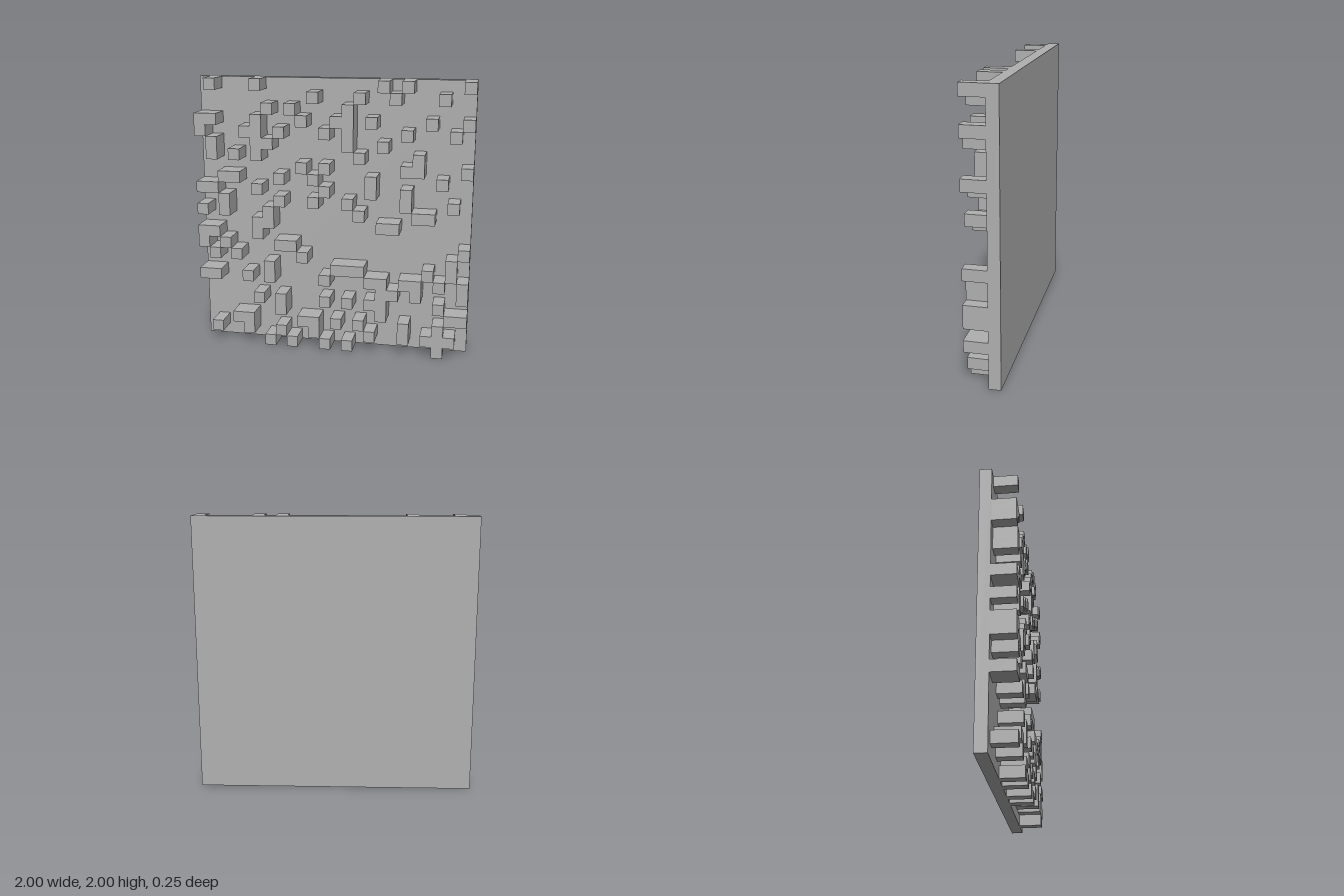
import * as THREE from 'three';

const GRID = 24;
const CELL = 2 / GRID;

// Columns holding a raised block, for each row from the top down
const ROWS = [
  [1, 5, 16, 18, 23],
  [10, 14, 17, 21],
  [6, 8, 13],
  [0, 1, 5, 9, 12, 13, 15, 20, 23],
  [0, 4, 5, 7, 11, 13, 18, 22],
  [1, 5, 6, 13, 16],
  [1, 3, 5, 14, 19],
  [9, 11, 18, 19, 23],
  [2, 3, 7, 10, 15, 21],
  [0, 1, 5, 11, 15, 18],
  [2, 7, 10, 13, 18, 22],
  [0, 2, 6, 14, 19, 20],
  [5, 6, 16, 17],
  [0, 1, 5],
  [0, 2, 7, 8, 23],
  [1, 3, 9, 22],
  [6, 12, 13, 14, 20, 22],
  [0, 1, 4, 6, 11, 15, 16, 18, 19, 21, 23],
  [16, 17, 19, 23],
  [5, 7, 11, 13, 15, 16, 21],
  [7, 16, 22, 23],
  [3, 4, 9, 10, 12, 14, 18, 21],
  [1, 4, 7, 10, 15, 18, 20, 21, 22],
  [6, 8, 11, 13, 21],
];

export function createModel() {
  const model = new THREE.Group();
  model.name = 'reliefPanel';
  const grey = new THREE.MeshStandardMaterial({ color: 0xb0b0b0 });
  grey.name = 'grey';

  // Back plate, one cell thick
  const plate = new THREE.Mesh(new THREE.BoxGeometry(2, 2, CELL), grey);
  plate.name = 'backPlate';
  plate.position.set(0, 1, -CELL);
  model.add(plate);

  // Square blocks standing two cells proud of the plate
  const blocks = new THREE.Group();
  blocks.name = 'raisedBlocks';
  const blockShape = new THREE.BoxGeometry(CELL, CELL, 2 * CELL);
  ROWS.forEach((columns, row) => {
    for (const column of columns) {
      const block = new THREE.Mesh(blockShape, grey);
      block.name = 'block';
      block.position.set(-1 + (column + 0.5) * CELL, 2 - (row + 0.5) * CELL, CELL / 2);
      blocks.add(block);
    }
  });
  model.add(blocks);
  return model;
}
